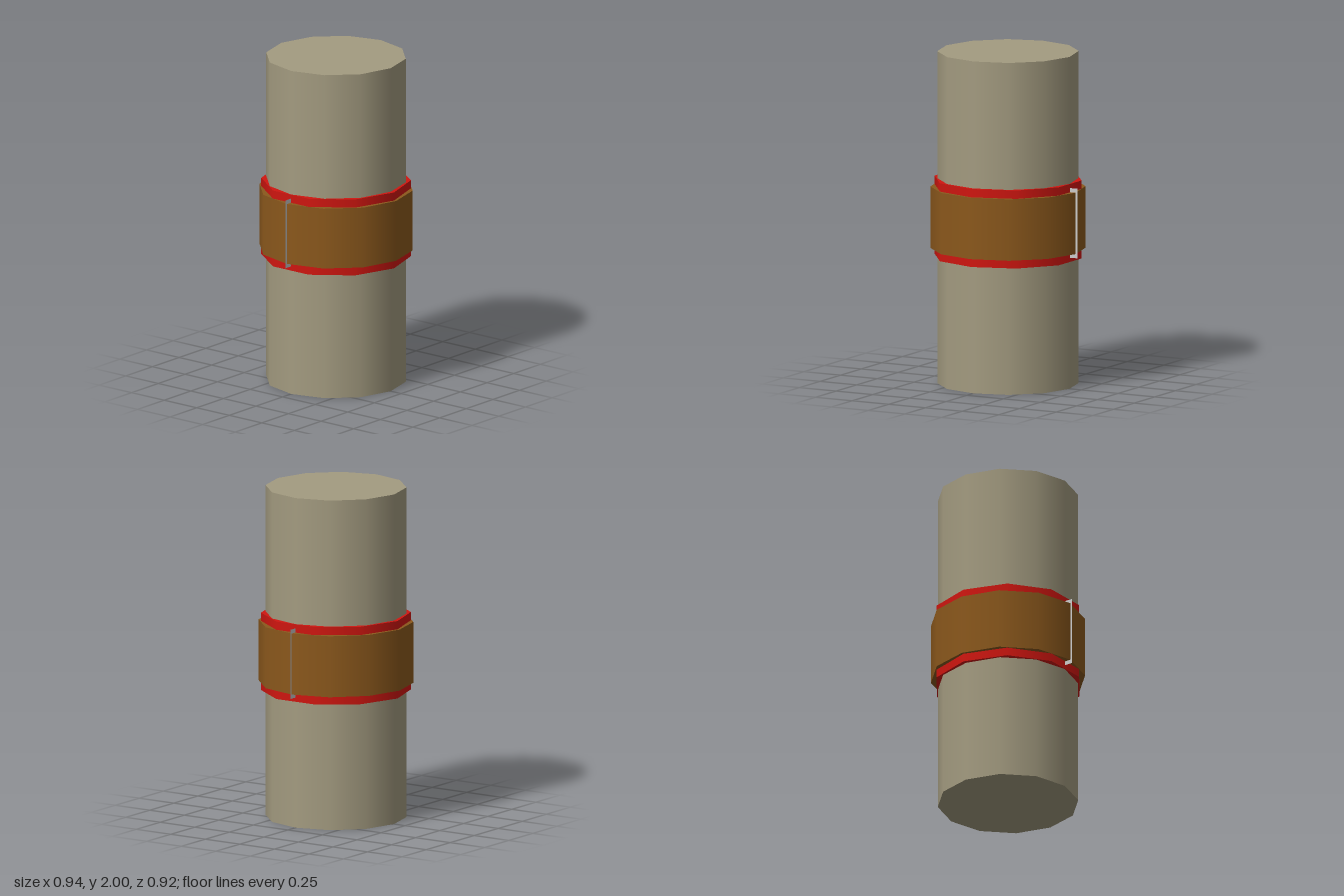
import * as THREE from 'three';

export function createModel() {
  const model = new THREE.Group();

  // Upright capped prism with smooth sides, centred at mid height
  function addBand(name, radius, height, sides, color) {
    const mesh = new THREE.Mesh(
      new THREE.CylinderGeometry(radius, radius, height, sides),
      new THREE.MeshStandardMaterial({ color })
    );
    mesh.name = name;
    mesh.position.y = 1;
    model.add(mesh);
  }

  addBand('pole', 0.42, 2, 12, 0xa39b80);
  addBand('redBand', 0.445, 0.47, 10, 0xd01610);
  addBand('brownStrap', 0.461, 0.37, 12, 0x8b581c);

  // Thin plate through the middle, its rim showing at both sides of the strap
  const plate = new THREE.Mesh(
    new THREE.PlaneGeometry(0.945, 0.42),
    new THREE.MeshStandardMaterial({ color: 0xcccccc, side: THREE.DoubleSide })
  );
  plate.name = 'bucklePlate';
  plate.position.y = 1;
  model.add(plate);

  return model;
}
